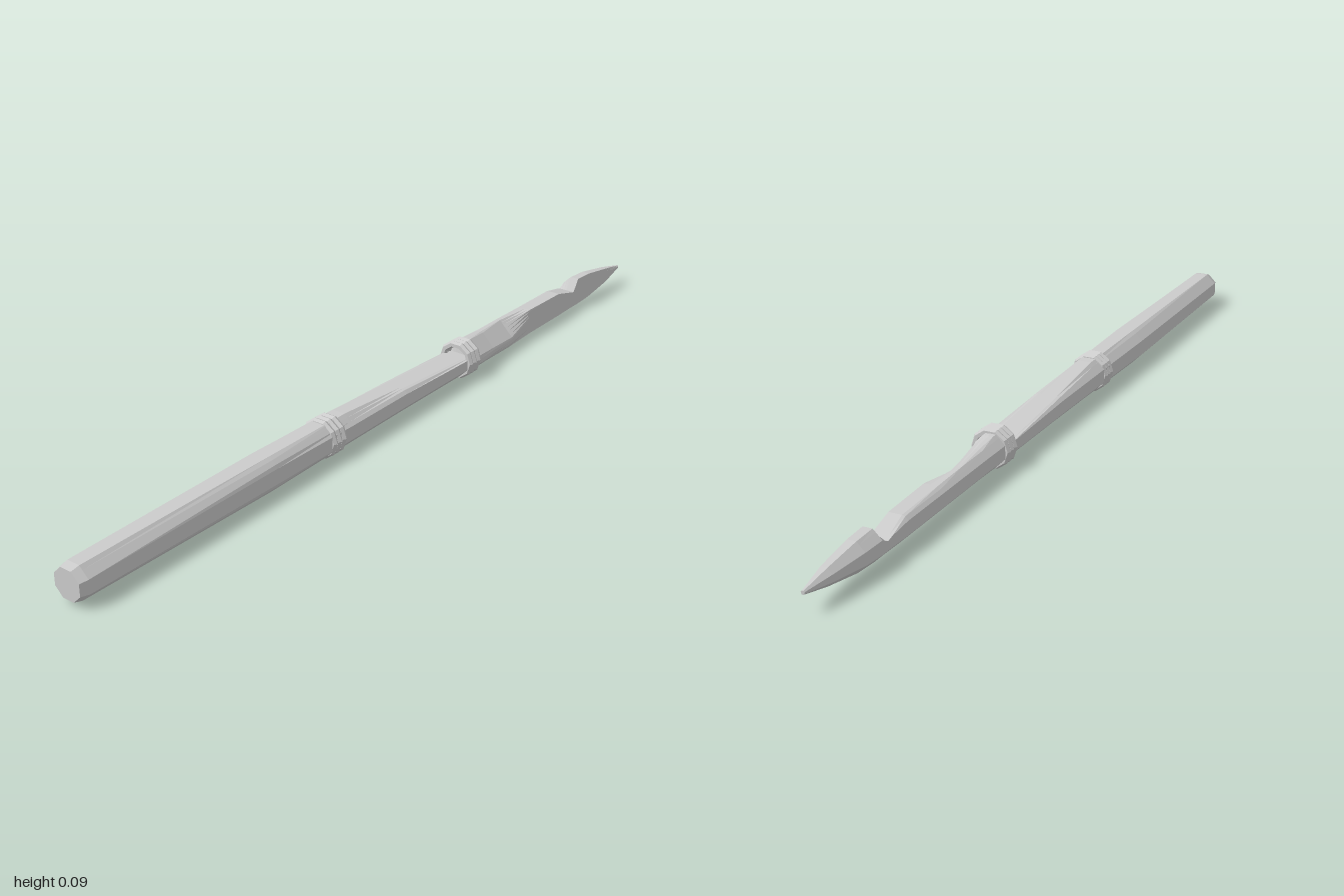
import * as THREE from 'three';

const CY = 0.0475; // height of the shaft axis
const SIDES = 8, SUB = 3;

// Stations along the shaft: x, half width, highest y, furthest z, bevel limit on (y - CY) + z
const STATIONS = [
  [-1.0, 0.034, 1, 1, 1],
  [-0.98, 0.039, 1, 1, 1],
  [-0.45, 0.044, 0.089, 0.039, 1],
  [-0.2, 0.04, 0.087, 1, 1],
  [0.0, 0.038, 0.072, 1, 1],
  [0.265, 0.037, 0.056, 1, 1],
  [0.27, 0.038, 0.085, 1, 1],
  [0.3, 0.038, 0.085, 1, 0.04],
  [0.36, 0.037, 0.08, 0.032, 0.028],
  [0.45, 0.037, 0.077, 0.025, 0.016],
  [0.55, 0.037, 0.075, 0.01, 0.04],
  [0.69, 0.037, 0.072, 0.008, 1],
  [0.75, 0.036, 0.056, 0.007, 1],
  [0.765, 0.036, 0.052, 0.007, 1],
  [0.785, 0.036, 0.083, 0.007, 1],
  [0.84, 0.033, 0.082, 0.007, 1],
  [0.93, 0.019, 1, 0.007, 1],
  [1.0, 0.004, 1, 0.004, 1],
];

// Octagon outline, cut flat by the top, front and bevel limits
function section([x, half, top, front, bevel]) {
  const r = half / Math.cos(Math.PI / SIDES);
  const corner = k => {
    const a = (k + 0.5) * 2 * Math.PI / SIDES;
    return [Math.cos(a) * r, Math.sin(a) * r];
  };
  const ring = [];
  for (let k = 0; k < SIDES; k++) {
    const [p, q] = [corner(k), corner(k + 1)];
    for (let s = 0; s < SUB; s++) {
      const t = s / SUB;
      let y = p[0] + (q[0] - p[0]) * t;
      let z = p[1] + (q[1] - p[1]) * t;
      const over = Math.max(0, y + z - bevel) / 2;
      y = Math.min(y - over, top - CY);
      z = Math.min(z - over, front);
      ring.push(x, y + CY, z);
    }
  }
  return ring;
}

function carvedShaft() {
  const n = SIDES * SUB, last = STATIONS.length - 1;
  const pos = STATIONS.flatMap(section);
  const index = [];
  for (let i = 0; i < last; i++) {
    for (let j = 0; j < n; j++) {
      const a = i * n + j, c = i * n + (j + 1) % n;
      index.push(a, c, a + n, c, c + n, a + n);
    }
  }
  // end caps
  for (let j = 1; j < n - 1; j++) {
    index.push(0, j + 1, j);
    index.push(last * n, last * n + j, last * n + j + 1);
  }
  const geo = new THREE.BufferGeometry();
  geo.setAttribute('position', new THREE.Float32BufferAttribute(pos, 3));
  geo.setIndex(index);
  const flat = geo.toNonIndexed();
  flat.computeVertexNormals();
  return flat;
}

export function createModel() {
  const model = new THREE.Group();
  model.name = 'carvedSpear';
  const mat = new THREE.MeshStandardMaterial({ color: 0xcccccc, flatShading: true });

  const shaft = new THREE.Mesh(carvedShaft(), mat);
  shaft.name = 'shaft';
  model.add(shaft);

  // Two bindings of three cord loops each
  const loop = new THREE.TorusGeometry(0.0395, 0.0085, 6, 10).rotateY(Math.PI / 2);
  for (const [name, x] of [['rearBinding', -0.248], ['frontBinding', 0.263]]) {
    const binding = new THREE.Group();
    binding.name = name;
    for (let i = -1; i <= 1; i++) {
      const cord = new THREE.Mesh(loop, mat);
      cord.name = 'cordLoop';
      cord.position.set(x + i * 0.0155, CY, 0);
      binding.add(cord);
    }
    model.add(binding);
  }
  return model;
}
